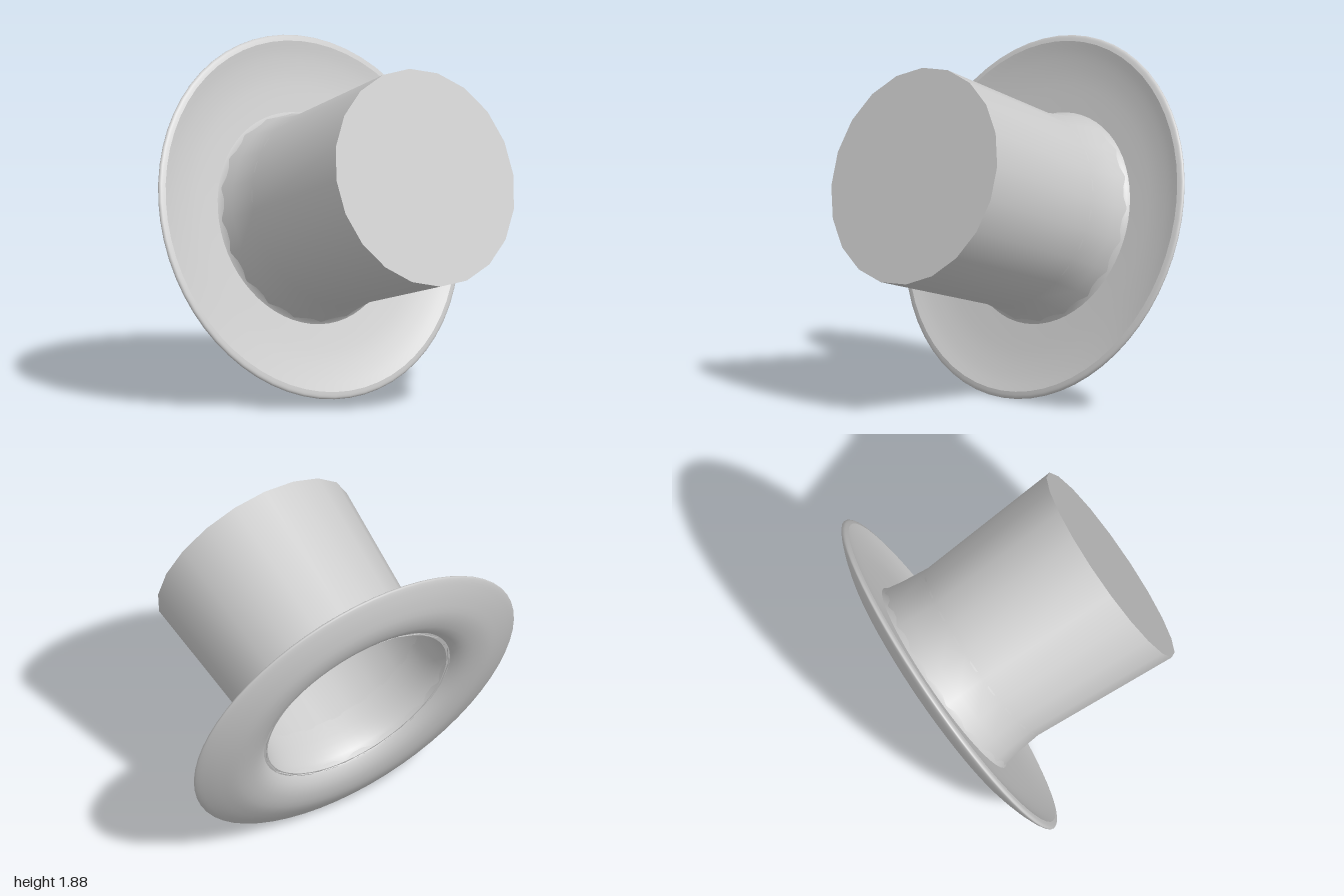
import * as THREE from 'three';

const material = new THREE.MeshStandardMaterial({ color: 0xcccccc, side: THREE.DoubleSide });

// Turns a list of [radius, height] points around the hat's axis
function turned(name, profile, segments) {
  const points = profile.map(([r, h]) => new THREE.Vector2(r, h));
  const mesh = new THREE.Mesh(new THREE.LatheGeometry(points, segments), material);
  mesh.name = name;
  return mesh;
}

// Smooths a profile with a spline
function smooth(profile, count) {
  const curve = new THREE.SplineCurve(profile.map(([r, h]) => new THREE.Vector2(r, h)));
  return curve.getPoints(count).map((p) => [p.x, p.y]);
}

export function createModel() {
  const model = new THREE.Group();
  model.name = 'topHat';

  const hat = new THREE.Group();
  hat.name = 'tiltedHat';
  model.add(hat);

  // Crown: open tube, flared at the brim and widening towards the top
  const topHeight = 1.06;
  const topRadius = 0.598;
  hat.add(turned('crownWall', [[0.575, -0.04], [0.557, 0.06], [0.54, 0.22], [topRadius, topHeight]], 20));

  // Flat lid on the crown
  const lid = new THREE.Mesh(new THREE.CircleGeometry(topRadius, 20), material);
  lid.name = 'crownTop';
  lid.rotation.x = -Math.PI / 2;
  lid.position.y = topHeight;
  hat.add(lid);

  // Brim underside: padded ring rolling out of the hollow crown to a thin rim
  hat.add(turned('brimUnderside', smooth([
    [0.535, 0.22], [0.54, 0.08], [0.57, -0.02], [0.65, -0.08], [0.77, -0.092],
    [0.88, -0.063], [0.96, -0.03], [0.995, -0.01], [1.0, 0.0], [0.99, 0.01], [0.965, 0.016],
  ], 30), 60));

  // Brim upper face: shallow dish from the rim down to the crown
  hat.add(turned('brimUpperFace', smooth([
    [0.965, 0.016], [0.88, -0.006], [0.75, -0.025], [0.56, -0.035],
  ], 10), 60));

  // Tip the hat so its crown points forward and slightly up
  const axis = new THREE.Vector3(-0.061, 0.337, 0.94).normalize();
  hat.quaternion.setFromUnitVectors(new THREE.Vector3(0, 1, 0), axis);
  hat.rotateY(Math.PI / 20);
  hat.position.set(0, 0.943, -0.42);

  return model;
}
